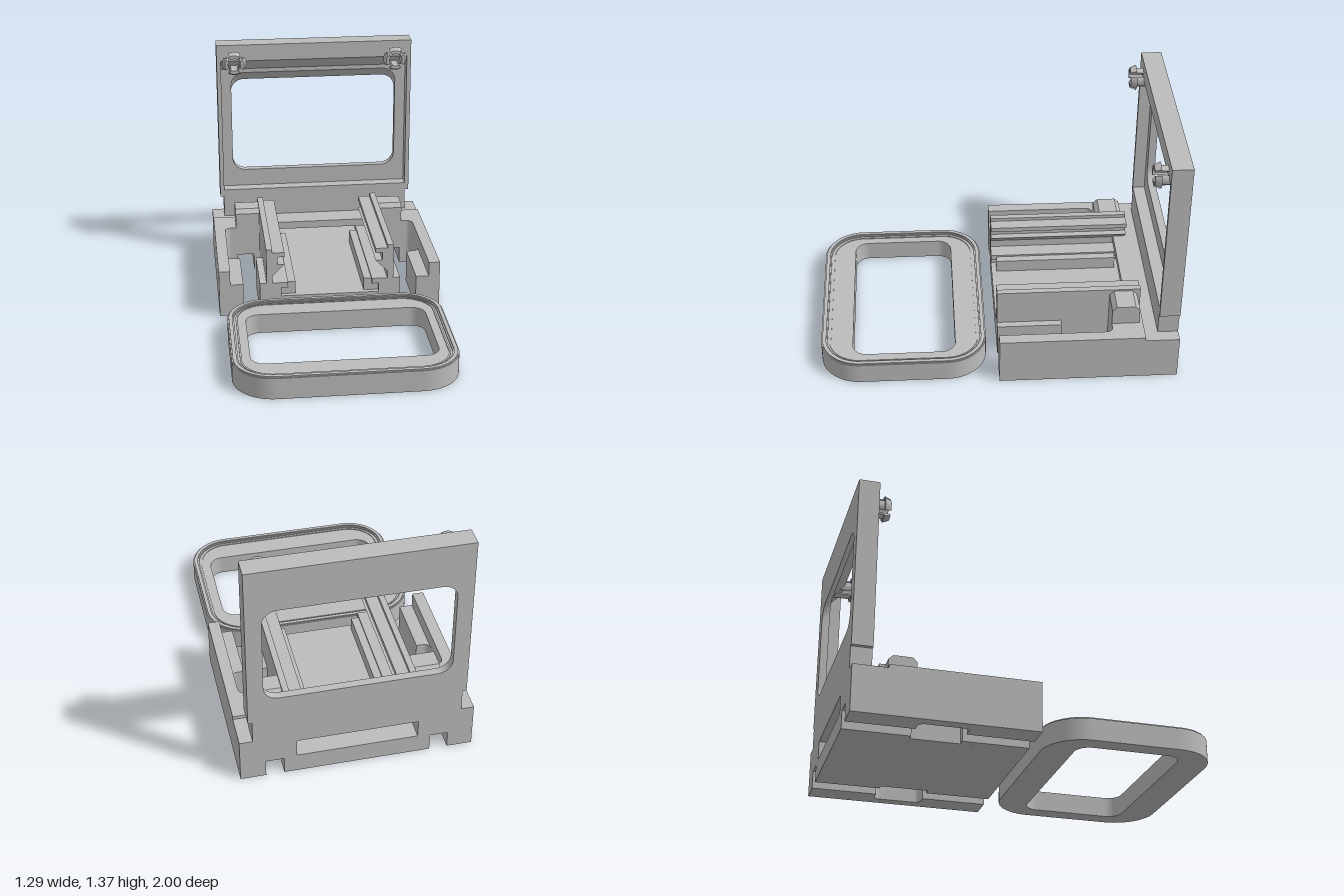
import * as THREE from 'three';

const grey = new THREE.MeshStandardMaterial({ color: 0xbcbcbc });
grey.name = 'grey plastic';

function add(parent, name, geometry) {
  const mesh = new THREE.Mesh(geometry, grey);
  mesh.name = name;
  parent.add(mesh);
  return mesh;
}

// Box given by its limits on each axis
function box(x0, x1, y0, y1, z0, z1) {
  return new THREE.BoxGeometry(Math.abs(x1 - x0), y1 - y0, z1 - z0)
    .translate((x0 + x1) / 2, (y0 + y1) / 2, (z0 + z1) / 2);
}

const polygon = (pts) => new THREE.Shape(pts.map(([x, y]) => new THREE.Vector2(x, y)));

// Front outline pulled from z0 to z1
function alongZ(shape, z0, z1) {
  return new THREE.ExtrudeGeometry(shape, { depth: z1 - z0, bevelEnabled: false, curveSegments: 10 })
    .translate(0, 0, z0);
}

// Plan outline, drawn as (x, -z), pulled from y0 to y1
function alongY(shape, y0, y1) {
  return new THREE.ExtrudeGeometry(shape, { depth: y1 - y0, bevelEnabled: false, curveSegments: 12 })
    .rotateX(-Math.PI / 2).translate(0, y0, 0);
}

function roundRect(x0, x1, y0, y1, r) {
  const s = new THREE.Shape();
  s.moveTo(x0 + r, y0);
  s.lineTo(x1 - r, y0);
  s.absarc(x1 - r, y0 + r, r, -Math.PI / 2, 0);
  s.lineTo(x1, y1 - r);
  s.absarc(x1 - r, y1 - r, r, 0, Math.PI / 2);
  s.lineTo(x0 + r, y1);
  s.absarc(x0 + r, y1 - r, r, Math.PI / 2, Math.PI);
  s.lineTo(x0, y0 + r);
  s.absarc(x0 + r, y0 + r, r, Math.PI, Math.PI * 1.5);
  return s;
}

// Rounded ring lying in front of the base
function makeRing() {
  const g = new THREE.Group();
  g.name = 'looseRing';
  const plan = (inset) => roundRect(-0.612 + inset, 0.612 - inset, -1 + inset, -0.065 - inset, 0.225 - inset);
  const layer = (name, inset, hole, y0, y1) => {
    const s = plan(inset);
    s.holes.push(hole);
    add(g, name, alongY(s, y0, y1));
  };
  const opening = roundRect(-0.51, 0.51, -0.82, -0.24, 0.08);
  layer('ringBody', 0, opening, 0, 0.115);
  layer('ringRim', 0, plan(0.036), 0.115, 0.122);
  layer('ringRimTop', 0.007, plan(0.028), 0.122, 0.13);
  layer('ringInnerBead', 0.046, plan(0.056), 0.115, 0.12);
  return g;
}

// Upright frame with stepped window
function makeFrame() {
  const g = new THREE.Group();
  g.name = 'uprightFrame';
  const plate = polygon([[-0.595, 0.39], [0.595, 0.39], [0.595, 1.37], [-0.595, 1.37]]);
  plate.holes.push(roundRect(-0.508, 0.508, 0.54, 1.12, 0.08));
  const back = alongZ(plate, -1, -0.955);
  // slope the window head upward toward the front
  const p = back.attributes.position;
  for (let i = 0; i < p.count; i++) {
    const y = p.getY(i);
    if (p.getZ(i) > -0.97 && Math.abs(p.getX(i)) < 0.52 && y > 0.9 && y < 1.2) p.setY(i, y + 0.055);
  }
  back.computeVertexNormals();
  add(g, 'frameBackPlate', back);
  for (const s of [-1, 1]) add(g, 'frameSideLip', box(s * 0.57, s * 0.595, 0.39, 1.37, -0.955, -0.885));
  add(g, 'frameBottomLip', box(-0.57, 0.57, 0.39, 0.435, -0.955, -0.885));
  const head = alongZ(polygon([[0.885, 1.37], [0.885, 1.27], [0.955, 1.2], [0.955, 1.37]]), -0.57, 0.57);
  add(g, 'frameTopLip', head.rotateY(Math.PI / 2));
  add(g, 'frameFoot', box(-0.573, 0.573, 0.26, 0.39, -1, -0.885));
  for (const s of [-1, 1]) g.add(makePeg(s * 0.49, 1.268));
  return g;
}

// Split snap peg made of four ring segments
function makePeg(x, y) {
  const g = new THREE.Group();
  g.name = 'snapPeg';
  g.position.set(x, y, 0);
  const segment = (r0, r1, mid) => {
    const s = new THREE.Shape();
    s.absarc(0, 0, r1, mid - 0.56, mid + 0.56, false);
    s.absarc(0, 0, r0, mid + 0.56, mid - 0.56, true);
    return s;
  };
  for (let i = 0; i < 4; i++) {
    const mid = i * Math.PI / 2;
    add(g, 'pegStem', alongZ(segment(0.038, 0.053, mid), -0.95, -0.845));
    const head = alongZ(segment(0.038, 0.072, mid), -0.845, -0.81);
    const p = head.attributes.position;
    for (let k = 0; k < p.count; k++) {
      if (p.getZ(k) > -0.82 && Math.hypot(p.getX(k), p.getY(k)) > 0.06) {
        p.setXY(k, p.getX(k) * 0.8, p.getY(k) * 0.8);
      }
    }
    head.computeVertexNormals();
    add(g, 'pegHead', head);
  }
  return g;
}

// Base with rails, side walls and rear block
function makeBase() {
  const g = new THREE.Group();
  g.name = 'base';
  add(g, 'floor', box(-0.37, 0.37, 0, 0.11, -0.81, 0));
  add(g, 'crossBeam', box(-0.335, 0.335, 0.215, 0.26, -0.81, -0.74));

  // rear block with two bottom channels and a central slot
  const rear = polygon([
    [-0.645, 0], [-0.505, 0], [-0.505, 0.1], [-0.405, 0.1], [-0.405, 0], [0.405, 0],
    [0.405, 0.1], [0.505, 0.1], [0.505, 0], [0.645, 0], [0.645, 0.26], [-0.645, 0.26],
  ]);
  rear.holes.push(polygon([[-0.335, 0.11], [0.335, 0.11], [0.335, 0.215], [-0.335, 0.215]]));
  add(g, 'rearBlock', alongZ(rear, -1, -0.81));

  const rail = [
    [0.37, 0.11], [0.37, 0.405], [0.335, 0.405], [0.335, 0.385], [0.265, 0.385], [0.265, 0.357],
    [0.305, 0.357], [0.305, 0.31], [0.265, 0.31], [0.335, 0.24], [0.335, 0.195], [0.245, 0.195],
    [0.245, 0.163], [0.285, 0.163], [0.285, 0.11],
  ];
  const shoulder = [
    [0.37, 0], [0.405, 0], [0.405, 0.1], [0.505, 0.1], [0.505, 0], [0.56, 0], [0.56, 0.28], [0.37, 0.28],
  ];
  const ear = [
    [0.635, 0.28], [0.79, 0.28], [0.79, 0.37], [0.765, 0.395], [0.66, 0.395], [0.635, 0.37],
  ];
  for (const s of [-1, 1]) {
    const flip = (pts) => polygon(pts.map(([x, y]) => [s * x, y]));
    add(g, 'guideRail', alongZ(flip(rail), -0.81, 0));
    add(g, 'railLedge', box(s * 0.2, s * 0.285, 0.11, 0.185, -0.74, -0.03));
    add(g, 'railFoot', box(s * 0.37, s * 0.41, 0, 0.195, -0.365, 0));
    add(g, 'shoulder', alongZ(flip(shoulder), -0.81, -0.635));
    const x0 = Math.min(s * 0.37, s * 0.513), x1 = Math.max(s * 0.37, s * 0.513);
    add(g, 'ear', alongZ(polygon(ear), x0, x1).rotateY(Math.PI / 2));

    // side wall in plan, with rounded pocket corners
    for (const lower of [true, false]) {
      const w = new THREE.Shape();
      w.moveTo(s * 0.645, 0);
      if (lower) {
        w.lineTo(s * 0.505, 0);
        w.lineTo(s * 0.505, 0.365);
        w.lineTo(s * 0.54, 0.365);
        w.quadraticCurveTo(s * 0.58, 0.365, s * 0.58, 0.405);
      } else {
        w.lineTo(s * 0.58, 0);
      }
      w.lineTo(s * 0.58, 0.595);
      w.quadraticCurveTo(s * 0.58, 0.635, s * 0.54, 0.635);
      w.lineTo(s * 0.54, 0.81);
      w.lineTo(s * 0.645, 0.81);
      add(g, lower ? 'sideWallLower' : 'sideWallUpper', lower ? alongY(w, 0, 0.195) : alongY(w, 0.195, 0.28));
    }
  }
  return g;
}

export function createModel() {
  const model = new THREE.Group();
  model.name = 'standWithFrameAndRing';
  model.add(makeRing(), makeFrame(), makeBase());
  return model;
}
